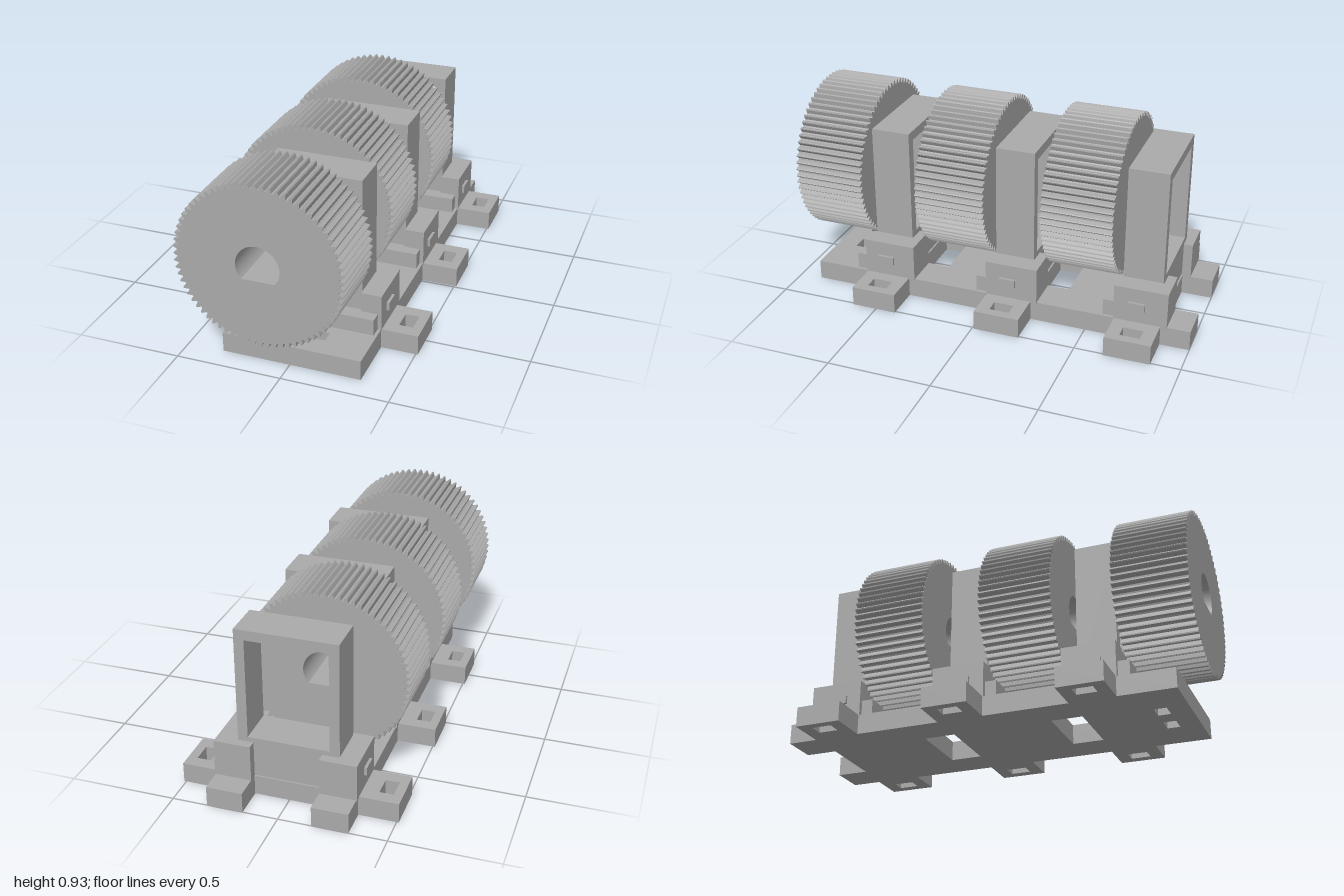
import * as THREE from 'three';

const grey = new THREE.MeshStandardMaterial({ color: 0xaaaaaa });
grey.name = 'grey plastic';

const PITCH = 0.63; // spacing of the three stations along z

function addMesh(parent, name, geometry) {
  const mesh = new THREE.Mesh(geometry, grey);
  mesh.name = name;
  parent.add(mesh);
  return mesh;
}

// Box given by its limits on each axis
function block(parent, name, x0, x1, y0, y1, z0, z1) {
  const mesh = addMesh(parent, name, new THREE.BoxGeometry(x1 - x0, y1 - y0, z1 - z0));
  mesh.position.set((x0 + x1) / 2, (y0 + y1) / 2, (z0 + z1) / 2);
  return mesh;
}

// Rectangular hole
function rectPath(x0, x1, y0, y1) {
  return new THREE.Path([[x0, y0], [x1, y0], [x1, y1], [x0, y1]].map(p => new THREE.Vector2(...p)));
}

// Spur gear with a D-shaped bore
function gearGeometry() {
  const teeth = 72, outer = 0.394, root = 0.371;
  const points = [];
  for (let i = 0; i < teeth; i++) {
    for (const [t, r] of [[-0.38, root], [-0.14, outer - 0.004], [0, outer], [0.14, outer - 0.004], [0.38, root]]) {
      const a = Math.PI / 2 + (i + t) / teeth * Math.PI * 2;
      points.push(new THREE.Vector2(Math.cos(a) * r, Math.sin(a) * r));
    }
  }
  const shape = new THREE.Shape(points);
  const bore = 0.102, flat = Math.asin(-0.066 / bore);
  const hole = [];
  for (let i = 0; i <= 40; i++) {
    const a = flat + (Math.PI - 2 * flat) * i / 40;
    hole.push(new THREE.Vector2(Math.cos(a) * bore, Math.sin(a) * bore));
  }
  shape.holes.push(new THREE.Path(hole));
  return new THREE.ExtrudeGeometry(shape, { depth: 0.345, bevelEnabled: false });
}

// Upright frame with a rectangular window
function frameGeometry() {
  const shape = new THREE.Shape(rectPath(-0.235, 0.24, 0.09, 0.82).getPoints());
  shape.holes.push(rectPath(-0.188, 0.193, 0.29, 0.773));
  return new THREE.ExtrudeGeometry(shape, { depth: 0.19, bevelEnabled: false });
}

// Base plate with mounting ears, windows and an open rear notch (shape y = -z)
function baseGeometry() {
  const L = -0.325, R = 0.335, ears = [0.51, 0.51 - PITCH, 0.51 - 2 * PITCH];
  const pts = [[L, -0.89], [R, -0.89]];
  for (const z of ears) pts.push([R, -z - 0.11], [0.51, -z - 0.11], [0.51, -z + 0.11], [R, -z + 0.11]);
  pts.push([R, 1], [0.165, 1], [0.165, 0.85], [-0.155, 0.85], [-0.155, 1], [L, 1]);
  for (const z of [...ears].reverse()) pts.push([L, -z + 0.11], [-0.51, -z + 0.11], [-0.51, -z - 0.11], [L, -z - 0.11]);
  const shape = new THREE.Shape(pts.map(p => new THREE.Vector2(...p)));
  for (const z of ears) {
    for (const x of [-0.436, 0.433]) shape.holes.push(rectPath(x - 0.033, x + 0.033, -z - 0.048, -z + 0.048));
  }
  for (const z of ears.slice(0, 2)) shape.holes.push(rectPath(-0.155, 0.165, -z + 0.1, -z + 0.25));
  for (const x of [-0.08, 0.09]) shape.holes.push(rectPath(x - 0.04, x + 0.04, -0.79, -0.73));
  const geometry = new THREE.ExtrudeGeometry(shape, { depth: 0.096, bevelEnabled: false });
  return geometry.rotateX(-Math.PI / 2);
}

export function createModel() {
  const model = new THREE.Group();
  model.name = 'gearAssembly';
  addMesh(model, 'basePlate', baseGeometry());

  const gear = gearGeometry(), frame = frameGeometry();
  for (let i = 0; i < 3; i++) {
    const station = new THREE.Group();
    station.name = 'station' + (i + 1);
    station.position.z = -i * PITCH;
    model.add(station);

    addMesh(station, 'gear', gear).position.set(-0.0875, 0.538, 0.655);
    addMesh(station, 'frame', frame).position.z = 0.418;

    // Holder: side blocks with rear arms and latch bumps
    for (const s of [-1, 1]) {
      const holder = new THREE.Group();
      holder.name = s > 0 ? 'leftHolder' : 'rightHolder';
      station.add(holder);
      const span = (a, b) => s > 0 ? [a + 0.005, b + 0.005] : [-b + 0.005, -a + 0.005];
      block(holder, 'sideBlock', ...span(0.236, 0.333), 0.09, 0.27, 0.37, 0.625);
      block(holder, 'rearArm', ...span(0.16, 0.24), 0.09, 0.27, 0.37, 0.414);
      block(holder, 'latchBump', ...span(0.33, 0.346), 0.16, 0.2, 0.476, 0.556);
    }
    // Low rail in front of the frame
    block(station, 'frontRail', -0.305, 0.32, 0.09, 0.175, 0.61, 0.68);
  }
  return model;
}
